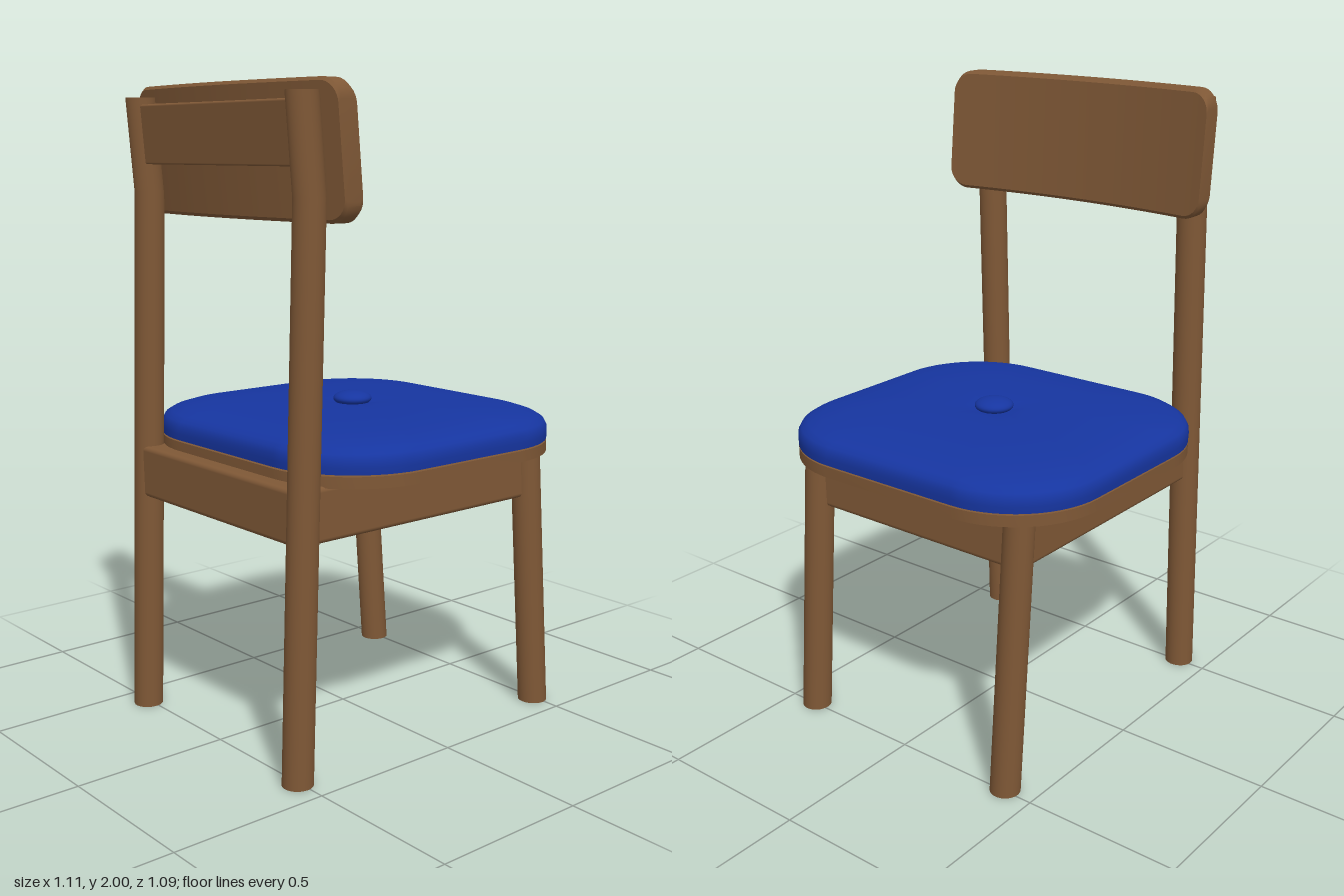
import * as THREE from 'three';
import { toCreasedNormals } from 'three/addons/utils/BufferGeometryUtils.js';
import { RoundedBoxGeometry } from 'three/addons/geometries/RoundedBoxGeometry.js';

const wood = new THREE.MeshStandardMaterial({ color: 0x7f5836 });
const fabric = new THREE.MeshStandardMaterial({ color: 0x1635a0 });

// Outline of a rounded rectangle, centred on the origin
function roundedRect(hx, hy, r, n = 14) {
  const pts = [];
  [[1, 1], [-1, 1], [-1, -1], [1, -1]].forEach(([sx, sy], k) => {
    for (let i = 0; i <= n; i++) {
      const a = (k + i / n) * Math.PI / 2;
      pts.push(new THREE.Vector2(sx * (hx - r) + r * Math.cos(a), sy * (hy - r) + r * Math.sin(a)));
    }
  });
  return pts;
}

// Skin through closed rings that all have the same number of points
function loft(rings) {
  const n = rings[0].length, index = [];
  for (let i = 0; i < rings.length - 1; i++) {
    for (let j = 0; j < n; j++) {
      const a = i * n + j, b = i * n + (j + 1) % n;
      index.push(a, a + n, b, b, a + n, b + n);
    }
  }
  const geo = new THREE.BufferGeometry();
  geo.setAttribute('position', new THREE.Float32BufferAttribute(rings.flat(2), 3));
  geo.setIndex(index);
  geo.computeVertexNormals();
  return geo;
}

// Slanted round leg with level ends, running from (x0, y0) to (x1, y1)
function slantedLeg(x0, y0, x1, y1, z, r) {
  const geo = new THREE.CylinderGeometry(r, r, y1 - y0, 32);
  const slope = (x1 - x0) / (y1 - y0), p = geo.attributes.position;
  for (let i = 0; i < p.count; i++) p.setX(i, p.getX(i) + slope * p.getY(i));
  geo.translate((x0 + x1) / 2, (y0 + y1) / 2, z);
  return geo;
}

// Curved, reclined board lofted across the width, with softened edges
function backrestGeometry() {
  const half = 0.49, r = 0.06, y0 = 1.61, y1 = 2.0, t = 0.065, b = 0.01;
  const front = (y, z) => -0.335 - (y - y0) / (y1 - y0) * 0.035 - 0.045 * (1 - (z / half) ** 2);
  const zs = [];
  for (let i = 0; i <= 8; i++) zs.push(-half + r * (1 - Math.cos(i / 8 * Math.PI / 2)));
  for (let i = 1; i < 24; i++) zs.push((half - r) * (i / 12 - 1));
  for (let i = 8; i >= 0; i--) zs.push(half - r * (1 - Math.cos(i / 8 * Math.PI / 2)));
  const rings = zs.map((z) => {
    const d = Math.max(0, Math.abs(z) - (half - r));
    const cut = r - Math.sqrt(Math.max(0, r * r - d * d));
    const lo = y0 + cut, hi = y1 - cut;
    return [[0, hi - b], [0, lo + b], [b, lo], [t - b, lo], [t, lo + b], [t, hi - b], [t - b, hi], [b, hi]]
      .map(([depth, y]) => [front(y, z) - depth, y, z]);
  });
  // close both ends
  const cap = (z) => Array(8).fill([front(1.805, z) - t / 2, 1.805, z]);
  return toCreasedNormals(loft([cap(-half), ...rings, cap(half)]), 0.6);
}

export function createModel() {
  const model = new THREE.Group();
  const add = (name, geo, mat = wood) => {
    const mesh = new THREE.Mesh(geo, mat);
    mesh.name = name;
    model.add(mesh);
    return mesh;
  };

  // Legs: splayed front pair, back pair rising into bent posts
  for (const [side, z] of [['Near', 0.4], ['Far', -0.4]]) {
    add('frontLeg' + side, slantedLeg(0.492, 0, 0.426, 0.88, z, 0.047));
    add('backLeg' + side, slantedLeg(-0.508, 0, -0.455, 1.68, z, 0.047));
    add('backPost' + side, slantedLeg(-0.455, 1.68, -0.479, 1.965, z, 0.047));
  }

  // Seat frame under the board
  add('seatFrame', new RoundedBoxGeometry(0.97, 0.165, 0.84, 3, 0.015)).position.set(-0.035, 0.793, 0);

  // Seat board
  const hx = 0.51, hz = 0.545, cx = 0.04;
  const board = new THREE.ExtrudeGeometry(new THREE.Shape(roundedRect(hx, hz, 0.3)),
    { depth: 0.035, bevelEnabled: false });
  board.rotateX(-Math.PI / 2);
  add('seatBoard', toCreasedNormals(board, 0.6)).position.set(cx, 0.87, 0);

  // Domed cushion, dimpled around its button: [scale, height]
  const outline = roundedRect(hx, hz, 0.3);
  const profile = [[0, 0.91], [1, 0.91], [1, 0.91], [1.002, 0.93], [1, 0.95], [0.985, 0.967], [0.95, 0.98],
    [0.88, 0.993], [0.75, 1.004], [0.55, 1.013], [0.3, 1.015], [0.17, 1.014], [0.12, 1.008], [0, 1.006]];
  add('cushion', loft(profile.map(([s, y]) => outline.map((p) => [cx + p.x * s, y, p.y * s]))), fabric);
  const button = add('cushionButton', new THREE.SphereGeometry(0.062, 32, 16), fabric);
  button.scale.y = 0.4;
  button.position.set(cx, 1.02, 0);

  // Back rail between the posts, with the curved backrest in front
  const rail = add('backRail', new RoundedBoxGeometry(0.05, 0.18, 0.8, 2, 0.006));
  rail.position.set(-0.473, 1.855, 0);
  rail.rotation.z = 0.085;
  add('backrest', backrestGeometry());

  return model;
}
